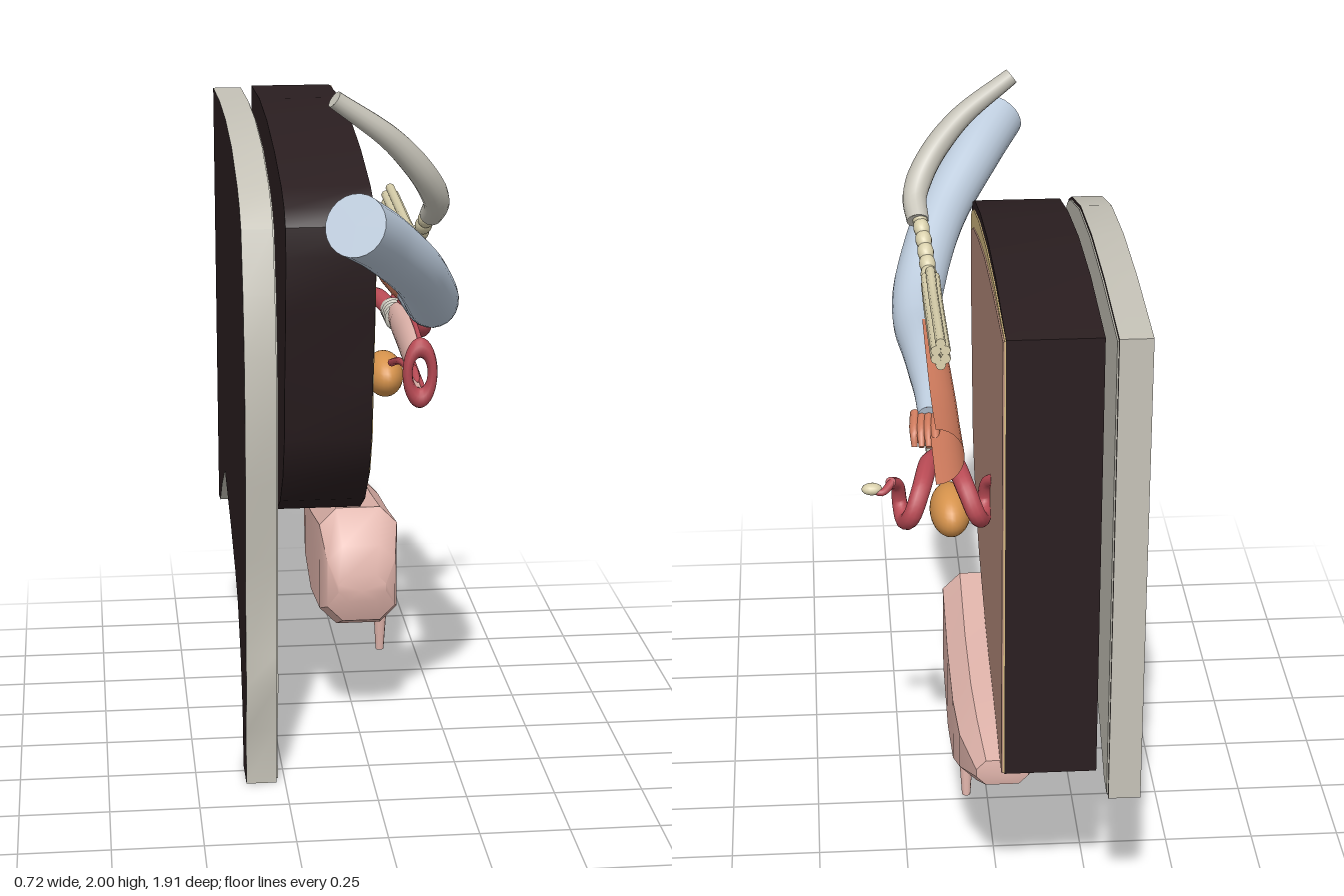
import * as THREE from 'three';
import { toCreasedNormals } from 'three/addons/utils/BufferGeometryUtils.js';

const mat = (name, color, side = THREE.FrontSide) => {
  const m = new THREE.MeshStandardMaterial({ color, side });
  m.name = name;
  return m;
};

export function createModel() {
  const model = new THREE.Group();
  model.name = 'cutawayTrainingModel';
  const dark = mat('darkHide', 0x2a1e20);
  const grey = mat('paleGrey', 0xc6c3b8);
  const flesh = mat('cutFlesh', 0xb58b7b);
  const fat = mat('fatYellow', 0xd2b880);
  const bone = mat('boneCream', 0xd8cfab);
  const blue = mat('gloveBlue', 0xbccbdc);
  const orange = mat('bladderOrange', 0xd6934c);
  const salmon = mat('rectumSalmon', 0xcf7b5d, THREE.DoubleSide);
  const red = mat('organRed', 0xb84a54);
  const pink = mat('softPink', 0xdfb3aa, THREE.DoubleSide);

  const add = (name, geo, material, parent = model) => {
    const m = new THREE.Mesh(geo, material);
    m.name = name;
    parent.add(m);
    return m;
  };

  // Slab whose outline is given as [z, y], spanning x0..x1
  const slab = (name, pts, x0, x1, material) => {
    const s = new THREE.Shape(pts.map(([z, y]) => new THREE.Vector2(-z, y)));
    const g = new THREE.ExtrudeGeometry(s, { depth: x1 - x0, bevelEnabled: false });
    g.rotateY(Math.PI / 2).translate(x0, 0, 0);
    return add(name, toCreasedNormals(g, 0.5), material);
  };

  // Shrinks a clockwise or counterclockwise outline by d
  const inset = (pts, d) => {
    const n = pts.length;
    const area = pts.reduce((a, p, i) => {
      const q = pts[(i + 1) % n];
      return a + p[0] * q[1] - q[0] * p[1];
    }, 0);
    const s = Math.sign(area) * d;
    const normal = (a, b) => {
      const l = Math.hypot(b[0] - a[0], b[1] - a[1]);
      return [-(b[1] - a[1]) / l, (b[0] - a[0]) / l];
    };
    return pts.map((p, i) => {
      const u = normal(pts[(i + n - 1) % n], p), v = normal(p, pts[(i + 1) % n]);
      const k = s / (1 + u[0] * v[0] + u[1] * v[1]);
      return [p[0] + (u[0] + v[0]) * k, p[1] + (u[1] + v[1]) * k];
    });
  };

  // Tube through points with radii spread evenly along it and closed ends
  const tube = (name, pts, radii, material, parent = model, seg = 32, sides = 14) => {
    const curve = new THREE.CatmullRomCurve3(pts.map(p => new THREE.Vector3(...p)));
    const g = new THREE.TubeGeometry(curve, seg, 1, sides);
    const radius = t => {
      const f = t * (radii.length - 1), i = Math.min(Math.floor(f), radii.length - 2);
      return radii.length < 2 ? radii[0] : THREE.MathUtils.lerp(radii[i], radii[i + 1], f - i);
    };
    const pos = g.attributes.position, v = new THREE.Vector3();
    for (let i = 0; i <= seg; i++) {
      const c = curve.getPointAt(i / seg);
      for (let j = 0; j <= sides; j++) {
        const k = i * (sides + 1) + j;
        v.fromBufferAttribute(pos, k).sub(c).multiplyScalar(radius(i / seg)).add(c);
        pos.setXYZ(k, v.x, v.y, v.z);
      }
    }
    const group = new THREE.Group();
    group.name = name;
    parent.add(group);
    add(name + 'Body', g, material, group);
    for (const t of [0, 1]) {
      const cap = add(name + 'End', new THREE.CircleGeometry(radius(t), sides), material, group);
      const c = curve.getPointAt(t);
      cap.position.copy(c);
      cap.lookAt(c.add(curve.getTangentAt(t).multiplyScalar(t ? 1 : -1)));
    }
    return group;
  };

  // Skin over equal-length rows of points running towards -z
  const loft = (rows, crease) => {
    const m = rows[0].length, idx = [];
    for (let i = 0; i < rows.length - 1; i++)
      for (let j = 0; j < m - 1; j++) {
        const a = i * m + j, b = a + m;
        idx.push(a, b, a + 1, b, b + 1, a + 1);
      }
    const g = new THREE.BufferGeometry();
    g.setAttribute('position', new THREE.Float32BufferAttribute(rows.flat(2), 3));
    g.setIndex(idx);
    return toCreasedNormals(g, crease);
  };

  // Half pipe open towards +x; stations are [z, y, height radius, depth]
  const trough = (name, x, stations, material) => add(name, loft(stations.map(([z, y, r, d]) =>
    Array.from({ length: 15 }, (_, j) => {
      const a = Math.PI * (0.5 + j / 14);
      return [x + Math.cos(a) * d, y + Math.sin(a) * r, z];
    })), 1), material);

  // Backing board with leg and arch
  const board = [[.345, .005], [.35, .165], [.40, .32], [.39, .41], [.42, .70], [.455, .92], [.475, 1.10],
    [.47, 1.29], [.445, 1.45], [.39, 1.62], [.33, 1.67], [.245, 1.71], [0, 1.775], [-.29, 1.805], [-.6, 1.81],
    [-.96, 1.795], [-.96, .46], [-.88, .47], [-.76, .56], [-.58, .66], [-.3, .58], [-.08, .5], [.03, .44],
    [.14, .31], [.2, .17], [.215, .005]];
  slab('backingBoard', board, -.36, -.274, [dark, grey]);
  slab('backingBoardFace', inset(board, .009), -.274, -.27, grey);

  // Body block with fat layer and cut face
  slab('bodyBlock', [[-.96, 1.80], [-.6, 1.815], [-.29, 1.80], [0, 1.76], [.245, 1.705], [.34, 1.665],
    [.38, 1.62], [.387, 1.54], [.365, 1.38], [.315, 1.18], [.285, 1.0], [.22, .875], [.11, .77], [-.02, .705],
    [-.29, .64], [-.96, .55]], -.24, .004, dark);
  slab('fatLayer', [[-.96, 1.798], [-.6, 1.795], [-.29, 1.775], [0, 1.735], [.24, 1.68], [.33, 1.64],
    [.36, 1.6], [.363, 1.53], [.34, 1.38], [.298, 1.18], [.27, 1.0], [.21, .885], [.1, .785], [-.02, .715],
    [-.29, .645], [-.96, .552]], .004, .008, fat);
  slab('cutFace', [[-.96, 1.796], [-.6, 1.775], [-.29, 1.745], [0, 1.69], [.2, 1.64], [.28, 1.6],
    [.295, 1.53], [.285, 1.38], [.25, 1.18], [.225, 1.0], [.165, .9], [.06, .8], [-.06, .73],
    [-.32, .647], [-.96, .554]], .008, .012, flesh);

  // Udder from bevelled cross-sections: [z, bottom, top, half width]
  const udder = [[.03, .46, .46, 0], [.03, .43, .51, .07], [0, .36, .59, .1], [-.09, .32, .68, .115],
    [-.37, .285, .635, .117], [-.6, .325, .612, .115], [-.75, .395, .592, .105], [-.91, .485, .56, .07],
    [-.92, .52, .52, 0]];
  add('udder', loft(udder.map(([z, b, t, w]) => {
    const c = Math.min(.05, w * .45, (t - b) * .35);
    const ring = [[w, b + c], [w, t - c], [w - c, t], [c - w, t], [-w, t - c], [-w, b + c], [c - w, b], [w - c, b]];
    return [...ring, ring[0]].map(([x, y]) => [x + .005, y, z]);
  }), .7), pink);
  for (const [z, y] of [[-.185, .2], [-.54, .215]])
    tube('teat', [[.08, y + .13, z + .01], [.08, y, z]], [.02, .012], pink, model, 2, 10);

  // Tail, tail bones and spine strands
  tube('tail', [[-.12, 1.985, .51], [.035, 1.87, .475], [.13, 1.76, .425], [.17, 1.68, .36], [.165, 1.63, .29]],
    [.024, .03, .036, .038, .032], grey);
  const tailBones = new THREE.CatmullRomCurve3([[.16, 1.64, .3], [.15, 1.585, .23], [.142, 1.53, .15],
    [.14, 1.51, .06]].map(p => new THREE.Vector3(...p)));
  for (let i = 0; i < 8; i++) {
    const b = add('tailBone', new THREE.SphereGeometry(1, 12, 8), bone);
    b.position.copy(tailBones.getPointAt(i / 7));
    b.scale.set(.024, .024, .034);
    b.lookAt(b.position.clone().add(tailBones.getTangentAt(i / 7)));
  }
  for (const [dx, dy] of [[0, .033], [.013, .012], [-.013, .012], [.013, -.012], [-.013, -.012], [0, -.03]])
    tube('spineStrand', [[.138 + dx, 1.515 + dy * .9, .12], [.138 + dx, 1.505 + dy, -.02],
      [.138 + dx, 1.52 + dy, -.25], [.138 + dx, 1.533 + dy, -.44]], [.014], bone, model, 14, 8);

  // Gloved arm, cuff line and fingers
  tube('glovedArm', [[-.105, 1.73, .9], [-.03, 1.665, .77], [.09, 1.535, .56], [.165, 1.4, .32],
    [.175, 1.36, .17], [.165, 1.35, -.02], [.16, 1.325, -.2], [.165, 1.295, -.31]],
  [.082, .08, .077, .075, .075, .07, .062, .05, .03], blue, model, 48, 24);
  for (let i = 0; i < 4; i++) {
    const x = .145 + i * .019;
    tube('finger', [[x, 1.295, -.29], [x + .006, 1.285 - i * .006, -.36], [x + .006, 1.25 - i * .006, -.42 + i * .015]],
      [.014, .014, .008], salmon, model, 10, 8);
  }

  // Rectum, opened on the outer side
  trough('rectum', .165, [[.2, 1.37, .03, .03], [.05, 1.365, .055, .06], [-.15, 1.345, .06, .07],
    [-.35, 1.335, .065, .075], [-.5, 1.34, .068, .075], [-.69, 1.355, .08, .075]], salmon);

  // Vulva, vagina, cervix and urethra
  const vulva = add('vulva', new THREE.TorusGeometry(.05, .02, 10, 28), red);
  vulva.scale.set(.7, 1.45, 1.3);
  vulva.position.set(.14, 1.18, .27);
  const vagina = [[.27, 1.185, .05, .04], [.12, 1.205, .06, .045], [0, 1.215, .06, .045],
    [-.15, 1.22, .05, .045], [-.3, 1.21, .04, .035]];
  trough('vagina', .15, vagina, pink);
  for (const s of [1, -1])
    tube('vaginaRim', vagina.map(([z, y, r]) => [.15, y + s * r, z]), [.007], red, model, 16, 8);
  for (let i = 0; i < 5; i++) {
    const ring = add('cervixRing', new THREE.TorusGeometry(.024, .013, 8, 18), grey);
    ring.position.set(.14, 1.205, -.27 - i * .03);
  }
  tube('urethra', [[.14, 1.13, .22], [.14, 1.155, .14], [.135, 1.13, 0], [.13, 1.11, -.14], [.12, 1.08, -.235]],
    [.012, .01, .01, .012], red, model, 20, 8);

  // Paired uterine horns with ovaries, mirrored about the organ's midline
  for (const s of [1, -1]) {
    const at = (d, y, z) => [.14 + s * d, y, z];
    const side = s > 0 ? 'left' : 'right';
    tube(side + 'UterineHorn', [at(.01, 1.21, -.4), at(.035, 1.225, -.47), at(.06, 1.2, -.57), at(.085, 1.14, -.6),
      at(.105, 1.1, -.55), at(.115, 1.13, -.5), at(.12, 1.185, -.51), at(.14, 1.215, -.55)],
    [.028, .027, .026, .024, .02, .015], red, model, 40, 12);
    tube(side + 'Oviduct', [at(.135, 1.212, -.545), at(.165, 1.195, -.57), at(.19, 1.202, -.56)], [.012, .008],
      red, model, 10, 8);
    const ovary = add(side + 'Ovary', new THREE.SphereGeometry(1, 14, 10), bone);
    ovary.scale.set(.028, .016, .02);
    ovary.position.set(...at(.19, 1.202, -.56));
  }

  // Bladder
  const bladder = add('bladder', new THREE.SphereGeometry(1, 28, 18), orange);
  bladder.scale.set(.057, .067, .107);
  bladder.position.set(.11, 1.02, -.34);

  return model;
}
